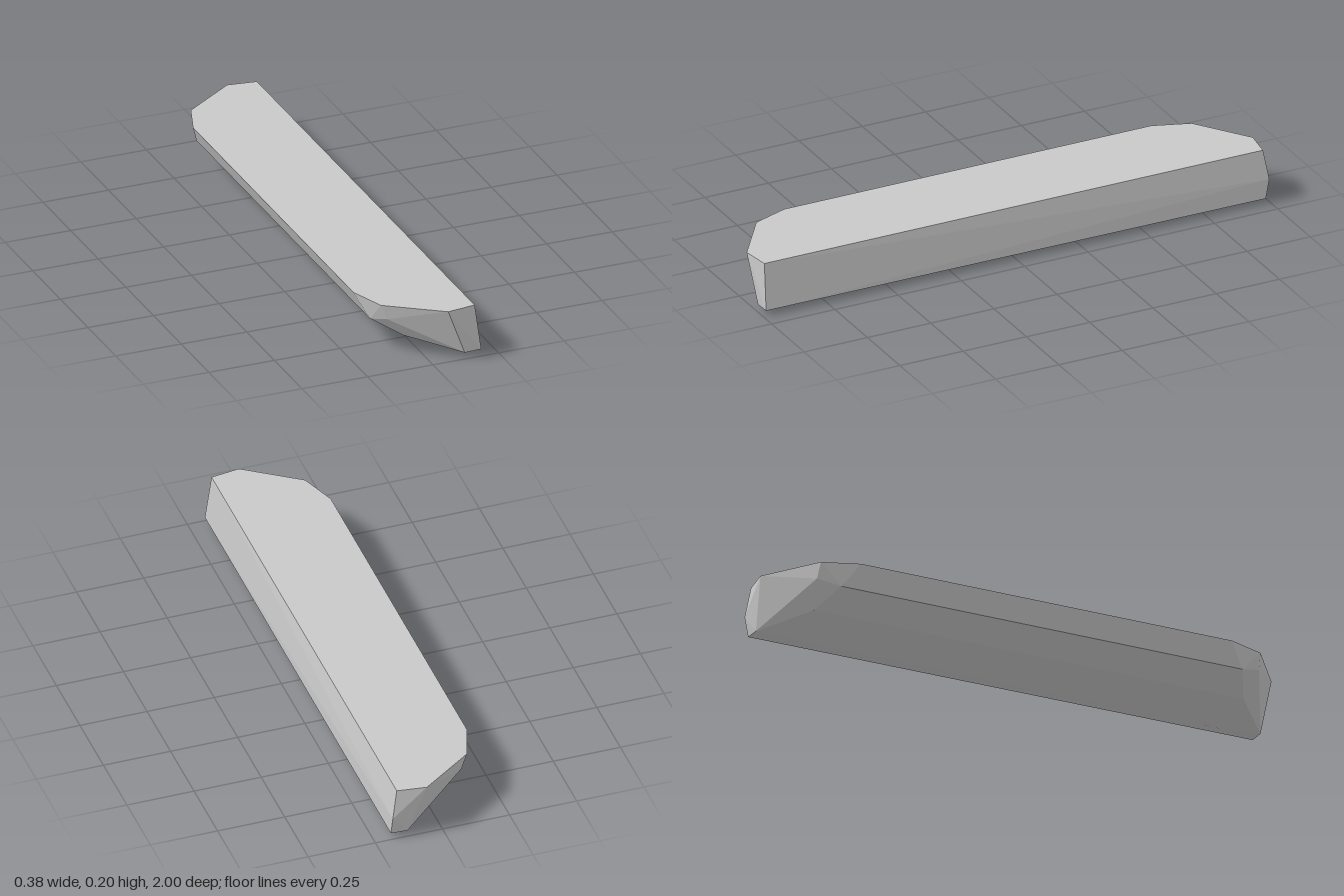
import * as THREE from 'three';
import { ConvexGeometry } from 'three/addons/geometries/ConvexGeometry.js';

export function createModel() {
  const model = new THREE.Group();
  const stone = new THREE.MeshStandardMaterial({ color: 0xc8c8c8 });
  stone.name = 'stoneGrey';

  // Corners shared by both ends: x, y, distance from the middle
  const corners = [
    // flat top outline
    [-0.188, 0.196, 0.725], [-0.14, 0.196, 0.86], [0.058, 0.196, 1.0], [0.165, 0.196, 0.985],
    // sloping flank
    [-0.15, 0.113, 0.785], [-0.118, 0.14, 0.865], [-0.045, 0.053, 0.84],
  ];
  const points = [];
  for (const [x, y, z] of corners) {
    for (const end of [1, -1]) points.push(new THREE.Vector3(x, y, z * end));
  }

  // Keel and lower tips, slightly different at each end
  points.push(
    new THREE.Vector3(0.11, 0.0, 0.82),
    new THREE.Vector3(0.125, 0.02, 0.99),
    new THREE.Vector3(0.188, 0.022, 0.99),
    new THREE.Vector3(0.11, 0.004, -0.88),
    new THREE.Vector3(0.125, 0.013, -0.985),
    new THREE.Vector3(0.187, 0.016, -0.985),
    new THREE.Vector3(0.185, 0.088, -1.0),
  );

  const slab = new THREE.Mesh(new ConvexGeometry(points), stone);
  slab.name = 'rockSlab';
  model.add(slab);
  return model;
}
